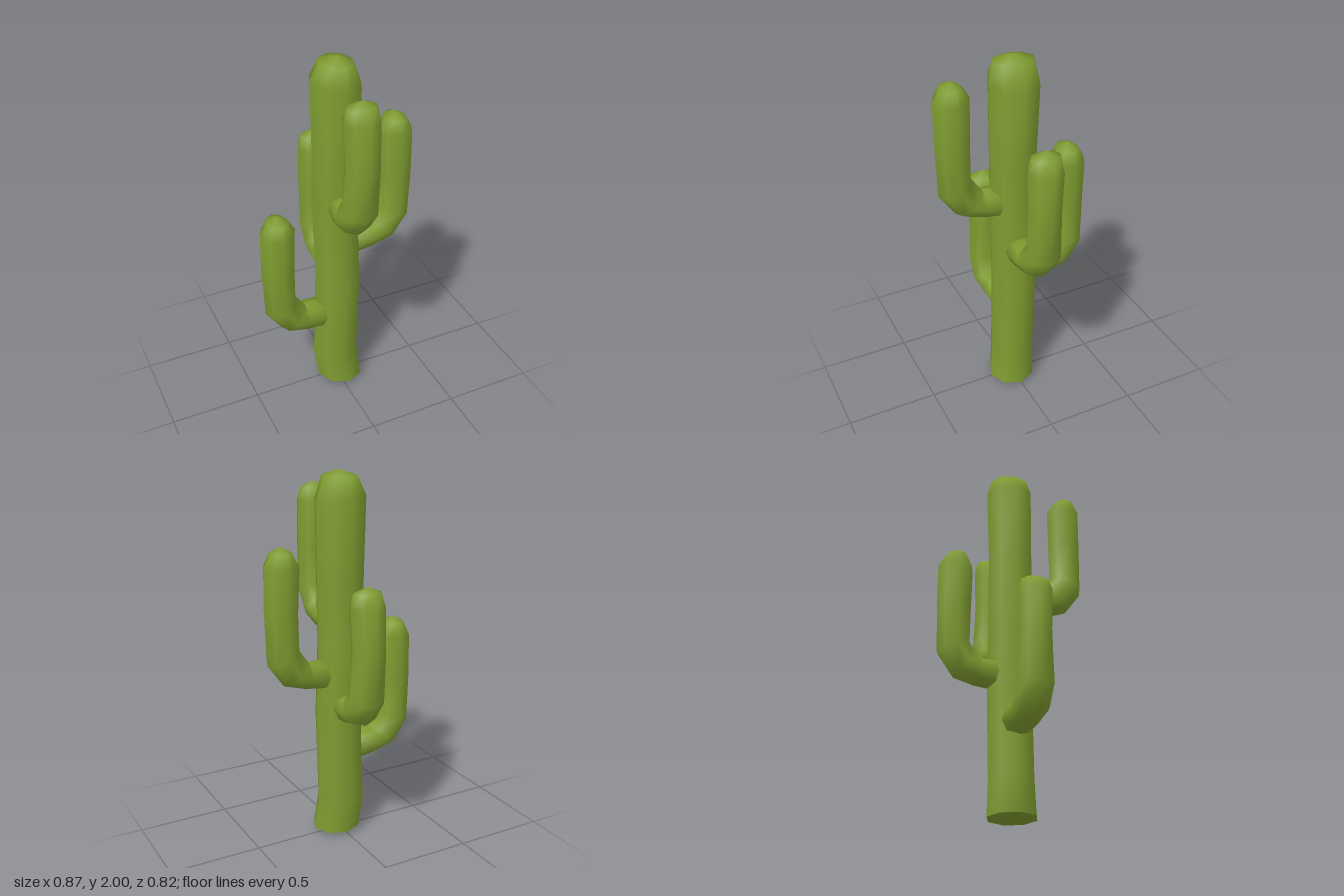
import * as THREE from 'three';

const SIDES = 8;

// Closed loft. Each ring: [x1, y1, x2, y2, half depth, z centre],
// where (x1, y1) and (x2, y2) are its opposite edges in the xy plane.
// Ends are closed by a point [x, y, z]; a null start leaves that end open.
function loft(rings, start, end) {
  const pos = [], index = [];
  for (const [x1, y1, x2, y2, depth, z] of rings) {
    for (let i = 0; i < SIDES; i++) {
      const t = (i / SIDES) * Math.PI * 2, c = Math.cos(t) / 2;
      pos.push((x1 + x2) / 2 + (x2 - x1) * c, (y1 + y2) / 2 + (y2 - y1) * c, z + Math.sin(t) * depth);
    }
  }
  const at = (r, i) => r * SIDES + (i % SIDES);
  for (let r = 0; r < rings.length - 1; r++) {
    for (let i = 0; i < SIDES; i++) {
      const a = at(r, i), b = at(r, i + 1), c = at(r + 1, i), d = at(r + 1, i + 1);
      index.push(a, c, b, b, c, d);
    }
  }
  const fan = (point, ring, flip) => {
    const p = pos.length / 3;
    pos.push(...point);
    for (let i = 0; i < SIDES; i++) {
      const a = at(ring, i), b = at(ring, i + 1);
      index.push(p, flip ? a : b, flip ? b : a);
    }
  };
  if (start) fan(start, 0, true);
  if (end) fan(end, rings.length - 1, false);
  const g = new THREE.BufferGeometry();
  g.setAttribute('position', new THREE.Float32BufferAttribute(pos, 3));
  g.setIndex(index);
  g.computeVertexNormals();
  return g;
}

export function createModel() {
  const group = new THREE.Group();
  const green = new THREE.MeshStandardMaterial({ color: 0x7f9c30 });
  green.name = 'cactus green';

  const add = (name, geometry) => {
    const mesh = new THREE.Mesh(geometry, green);
    mesh.name = name;
    group.add(mesh);
    return mesh;
  };

  // Trunk, slightly wobbly, with a dome flattened along z
  const base = [-0.115, 0.03, 0.145, 0.02, 0.132, 0.012];
  add('trunk', loft([
    base,
    [-0.14, 0.2, 0.127, 0.2, 0.122, 0],
    [-0.118, 0.68, 0.14, 0.7, 0.125, -0.003],
    [-0.132, 1.1, 0.125, 1.1, 0.125, -0.004],
    [-0.13, 1.45, 0.13, 1.45, 0.125, -0.003],
    [-0.135, 1.88, 0.137, 1.85, 0.133, -0.01],
    [-0.085, 1.97, 0.09, 1.97, 0.11, -0.005],
  ], null, [0.005, 2, 0]));

  // Underside as its own mesh for a crisp bottom edge
  add('trunkUnderside', loft([base], [0.01, 0, 0.01], null));

  // Arm profile: stub, bent elbow, upright, dome. s is the sideways drift.
  const arm = (s) => loft([
    [0.08, 1.02, 0.08, 0.85, 0.083, 0],
    [0.19, 1.02, 0.21, 0.872, 0.088, s * 0.5],
    [0.2, 1.03, 0.335, 0.91, 0.096, s],
    [0.25, 1.1, 0.425, 1.035, 0.094, s],
    [0.248, 1.3, 0.435, 1.32, 0.088, s * 0.6],
    [0.24, 1.54, 0.433, 1.54, 0.093, s],
    [0.28, 1.61, 0.393, 1.61, 0.078, s],
  ], [0.05, 0.93, 0], [0.338, 1.64, s]);

  // name, turn about y, height offset, x, z, drift
  const arms = [
    ['leftArm', 0, 0, 0, 0, -0.012],
    ['rightArm', Math.PI, -0.445, 0, 0, -0.012],
    ['frontArm', -Math.PI / 2, 0.27, 0, -0.025, 0.016],
    ['backArm', Math.PI / 2, -0.175, 0, 0.025, 0.016],
  ];
  for (const [name, turn, y, x, z, drift] of arms) {
    const mesh = add(name, arm(drift));
    mesh.rotation.y = turn;
    mesh.position.set(x, y, z);
  }
  return group;
}
